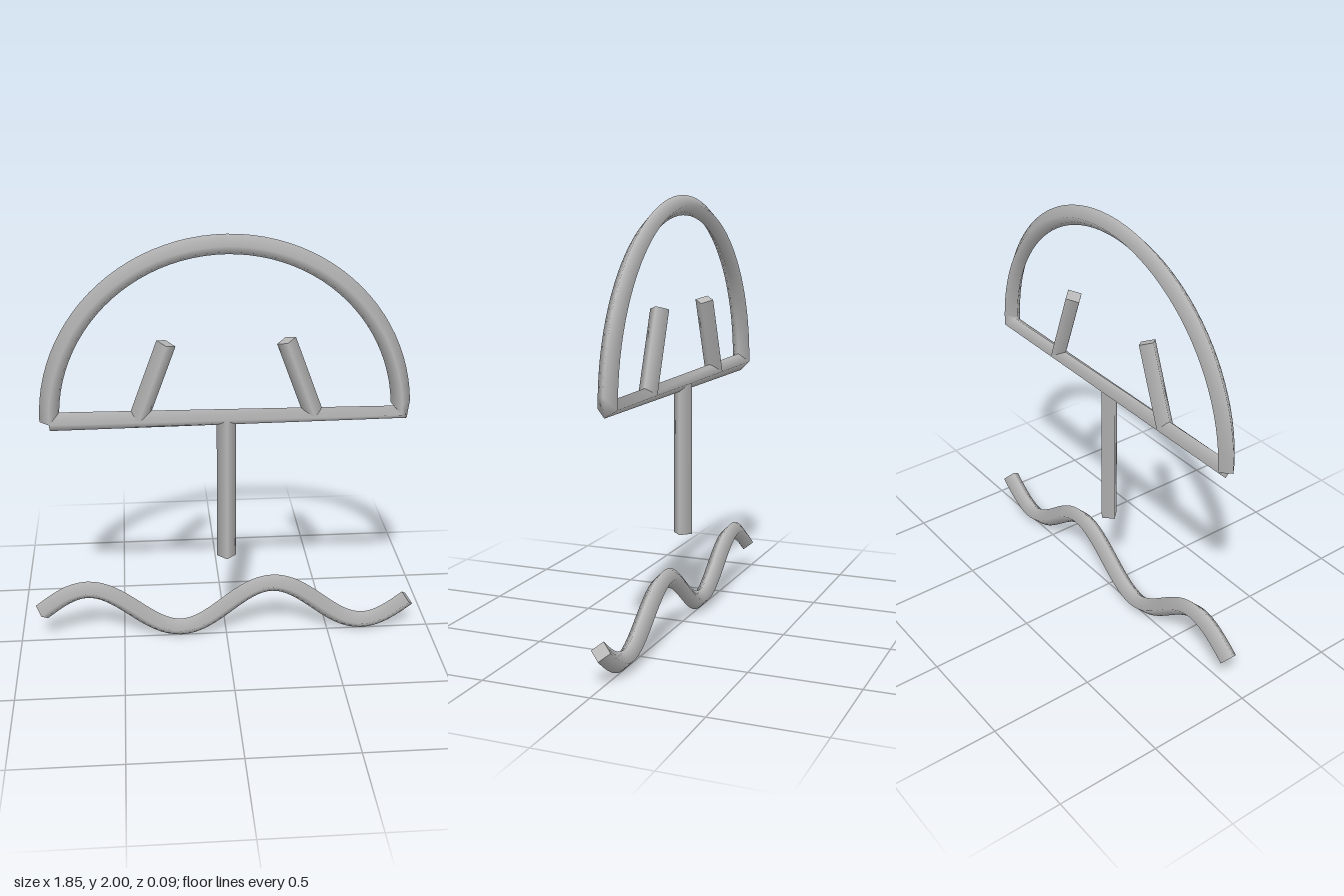
import * as THREE from 'three';

const RADIUS = 0.045;
const SIDES = 4;

// Sweeps a diamond section along a flat polyline, mitred at corners, with flat end caps
function rodGeometry(points) {
  const pos = [], nor = [], idx = [];
  const last = points.length - 1;
  const zAxis = new THREE.Vector3(0, 0, 1);
  const dir = (i) => points[i + 1].clone().sub(points[i]).normalize();
  const rings = points.map((p, i) => {
    const t = new THREE.Vector3();
    if (i > 0) t.add(dir(i - 1));
    if (i < last) t.add(dir(i));
    t.normalize();
    const n = new THREE.Vector3().crossVectors(zAxis, t);
    const out = [];
    for (let k = 0; k < SIDES; k++) {
      const a = (k / SIDES) * Math.PI * 2;
      out.push(n.clone().multiplyScalar(Math.cos(a)).addScaledVector(zAxis, Math.sin(a)));
    }
    return { p, t, out };
  });
  const addRing = ({ p, out }, flat) => {
    const base = pos.length / 3;
    for (const o of out) {
      pos.push(...p.clone().addScaledVector(o, RADIUS).toArray());
      nor.push(...(flat || o).toArray());
    }
    return base;
  };

  rings.forEach((r, i) => {
    const b = addRing(r);
    if (i === last) return;
    for (let k = 0; k < SIDES; k++) {
      const a = b + k, c = b + (k + 1) % SIDES;
      idx.push(a, c, a + SIDES, c, c + SIDES, a + SIDES);
    }
  });
  const s = addRing(rings[0], rings[0].t.clone().negate());
  idx.push(s, s + 2, s + 1, s, s + 3, s + 2);
  const e = addRing(rings[last], rings[last].t);
  idx.push(e, e + 1, e + 2, e, e + 2, e + 3);

  const g = new THREE.BufferGeometry();
  g.setAttribute('position', new THREE.Float32BufferAttribute(pos, 3));
  g.setAttribute('normal', new THREE.Float32BufferAttribute(nor, 3));
  g.setIndex(idx);
  return g;
}

export function createModel() {
  const group = new THREE.Group();
  const grey = new THREE.MeshStandardMaterial({ color: 0xb8b8b8 });
  grey.name = 'plain grey';
  const v = (x, y) => new THREE.Vector3(x, y, 0);
  const addRod = (name, points) => {
    const mesh = new THREE.Mesh(rodGeometry(points), grey);
    mesh.name = name;
    group.add(mesh);
  };

  // Half-circle dome that turns the corner into the straight base bar
  const dome = [];
  for (let i = 0; i <= 48; i++) {
    const a = Math.PI * (1 - i / 48);
    dome.push(v(0.805 * Math.cos(a), 1.15 + 0.805 * Math.sin(a)));
  }
  dome.push(v(-0.805, 1.15));
  addRod('domeAndBar', dome);

  // Leaning struts inside the dome
  for (const side of [1, -1]) {
    addRod(side > 0 ? 'leftStrut' : 'rightStrut', [v(side * 0.403, 1.15), v(side * 0.27, 1.51)]);
  }

  // Central stem under the bar
  addRod('stem', [v(0, 1.15), v(0, 0.435)]);

  // Two-period wave below
  const wave = [];
  for (let i = 0; i <= 64; i++) {
    const u = i / 64;
    wave.push(v(-0.895 + 1.79 * u, 0.159 + 0.113 * Math.sin(u * Math.PI * 4)));
  }
  addRod('wave', wave);

  return group;
}
